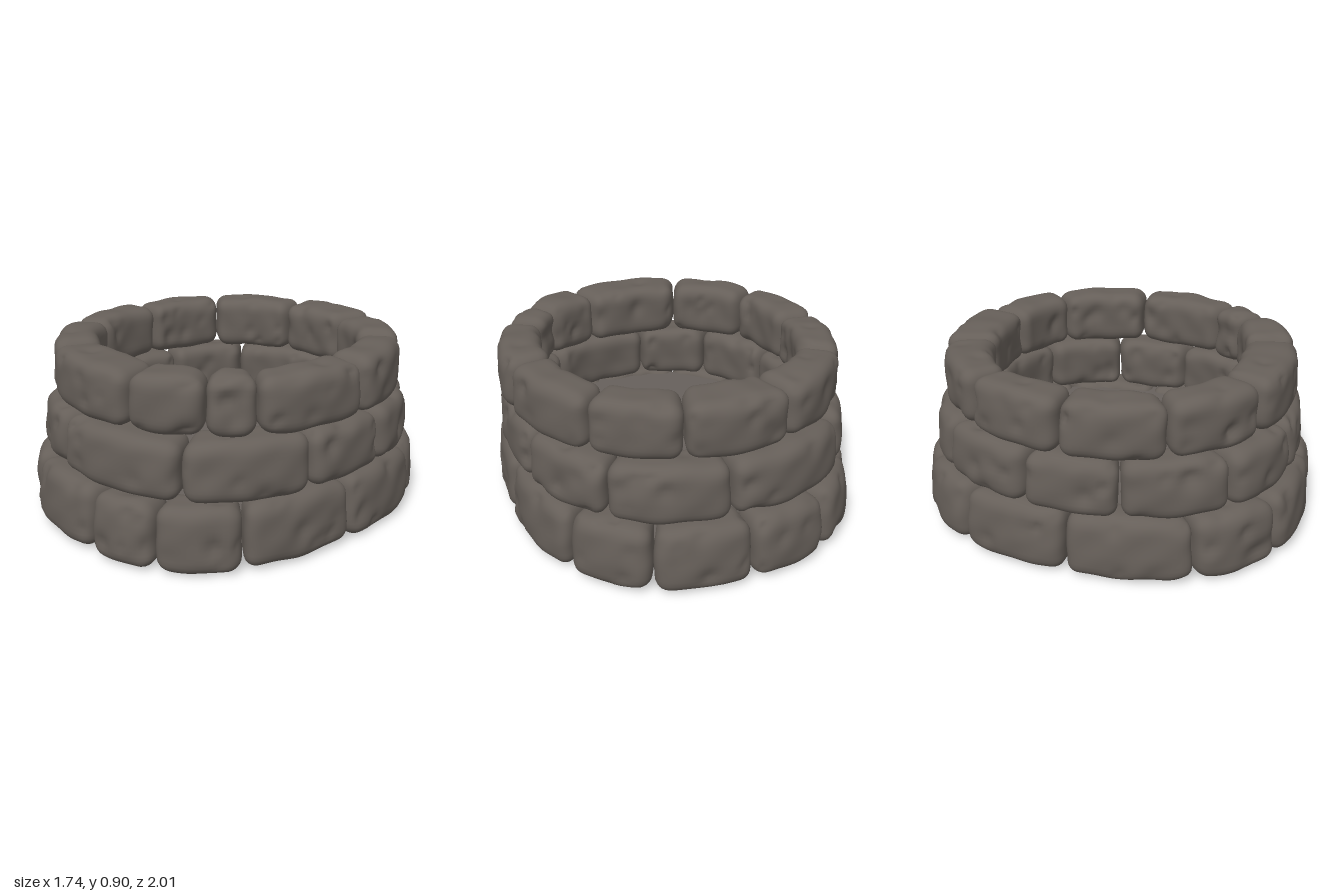
import * as THREE from 'three';
import { mergeVertices } from 'three/addons/utils/BufferGeometryUtils.js';

// small seeded random generator
function seeded(seed) {
  let s = seed >>> 0;
  return () => {
    s = (s * 1664525 + 1013904223) >>> 0;
    return s / 4294967296;
  };
}

// radius of a squarish oval in the direction a (0 = front, growing towards +x)
function ovalRadius(a, [rx, rz, power]) {
  const s = Math.abs(Math.sin(a)) / rx, c = Math.abs(Math.cos(a)) / rz;
  return Math.pow(Math.pow(s, power) + Math.pow(c, power), -1 / power);
}

// courses of stone, with the joints in degrees around the ring
const courses = [
  { name: 'bottomCourse', y0: -0.003, y1: 0.338, taper: 0.035,
    outer: [0.875, 1.005, 2.4], inner: [0.655, 0.765, 2.4],
    joints: [6.5, 27, 51, 90, 128, 153, 181, 206, 232, 268, 308, 334.5] },
  { name: 'middleCourse', y0: 0.315, y1: 0.62, taper: 0.025,
    outer: [0.855, 0.94, 2.3], inner: [0.63, 0.68, 2.4],
    joints: [33.5, 73.5, 106.5, 139, 176, 221, 254, 286, 320, 349] },
  { name: 'topCourse', y0: 0.608, y1: 0.902, taper: 0.01,
    outer: [0.86, 0.9, 2.05], inner: [0.62, 0.615, 2.5],
    joints: [15.5, 40, 56, 95, 132, 162, 196, 232, 266.5, 301, 334] },
];

// rounded, dented block bent along its course
function stoneGeometry(course, a0, a1, rand) {
  const mid = (a0 + a1) / 2;
  const rOut = ovalRadius(mid, course.outer), rIn = ovalRadius(mid, course.inner);
  const jitter = () => rand() - 0.5;
  const y0 = course.y0 + rand() * 0.006, y1 = course.y1 - rand() * 0.008;
  const size = new THREE.Vector3((a1 - a0) * (rOut * 0.8 + rIn * 0.2), y1 - y0, rOut - rIn);
  const half = size.clone().multiplyScalar(0.5);
  const round = 0.07;
  const core = half.clone().subScalar(round);
  const shift = jitter() * 0.01, lean = jitter() * 0.02, tilt = jitter() * 0.02;
  const phase = [0, 1, 2].map(() => rand() * 6.28);

  // shallow chips on the outer, inner and upper faces
  const dents = [];
  for (let i = 0; i < 14; i++) {
    const centre = new THREE.Vector3(jitter() * size.x, jitter() * size.y, jitter() * size.z);
    if (i % 5 === 4) centre.y = half.y;
    else centre.z = i % 2 ? half.z : -half.z;
    dents.push({ centre, radius: 0.022 + rand() * 0.03, depth: 0.006 + rand() * 0.014 });
  }

  const box = new THREE.BoxGeometry(size.x, size.y, size.z,
    Math.max(9, Math.round(size.x / 0.022)), 13, 10);
  box.deleteAttribute('normal');
  box.deleteAttribute('uv');
  const geometry = mergeVertices(box);
  const pos = geometry.attributes.position;
  const p = new THREE.Vector3(), inside = new THREE.Vector3(), n = new THREE.Vector3();
  const low = core.clone().negate();
  for (let i = 0; i < pos.count; i++) {
    p.fromBufferAttribute(pos, i);
    inside.copy(p).clamp(low, core);
    n.copy(p).sub(inside).normalize();
    p.copy(inside).addScaledVector(n, round);

    // weathering only cuts into the block
    let cut = 0.004 + 0.003 * Math.sin(p.x * 19 + p.y * 13 + phase[0]) * Math.cos(p.z * 17 + phase[1])
      + 0.002 * Math.sin(p.y * 31 - p.x * 27 + phase[2]);
    for (const d of dents) cut += d.depth * Math.exp(-p.distanceToSquared(d.centre) / (d.radius * d.radius));
    p.addScaledVector(n, -cut);

    // bend around the ring, a little lower towards the ends
    const u = p.x / size.x, h = p.y / size.y;
    const a = mid + u * (a1 - a0);
    const out = ovalRadius(a, course.outer), inn = ovalRadius(a, course.inner);
    const r = inn + (p.z / size.z + 0.5) * (out - inn) + shift * (out > 0.97 ? 0 : 1)
      - Math.max(0, h + 0.1) * course.taper + h * lean * 0.5;
    const y = (y0 + y1) / 2 + p.y * (1 - 0.28 * u * u) + tilt * p.x * 0.7;
    pos.setXYZ(i, r * Math.sin(a), Math.max(0, y), r * Math.cos(a));
  }
  geometry.computeVertexNormals();
  return geometry;
}

export function createModel() {
  const model = new THREE.Group();
  model.name = 'stoneWell';
  const stone = new THREE.MeshStandardMaterial({ color: 0x665f59 });
  stone.name = 'warm grey stone';
  const floorStone = new THREE.MeshStandardMaterial({ color: 0x66605b, side: THREE.DoubleSide });
  floorStone.name = 'floor grey';

  const rand = seeded(41);
  const rad = Math.PI / 180;
  for (const course of courses) {
    const group = new THREE.Group();
    group.name = course.name;
    course.joints.forEach((start, i) => {
      const next = course.joints[i + 1] ?? course.joints[0] + 360;
      const mesh = new THREE.Mesh(stoneGeometry(course, start * rad, next * rad, rand), stone);
      mesh.name = 'stone' + (i + 1);
      group.add(mesh);
    });
    model.add(group);
  }

  // flat base closing the ring, and the raised floor inside it
  for (const [name, y, rx, rz] of [['base', 0.055, 0.77, 0.85], ['floor', 0.295, 0.74, 0.82]]) {
    const disc = new THREE.Mesh(
      new THREE.CircleGeometry(1, 28).rotateX(-Math.PI / 2).scale(rx, 1, rz), floorStone);
    disc.name = name;
    disc.position.y = y;
    model.add(disc);
  }
  return model;
}
